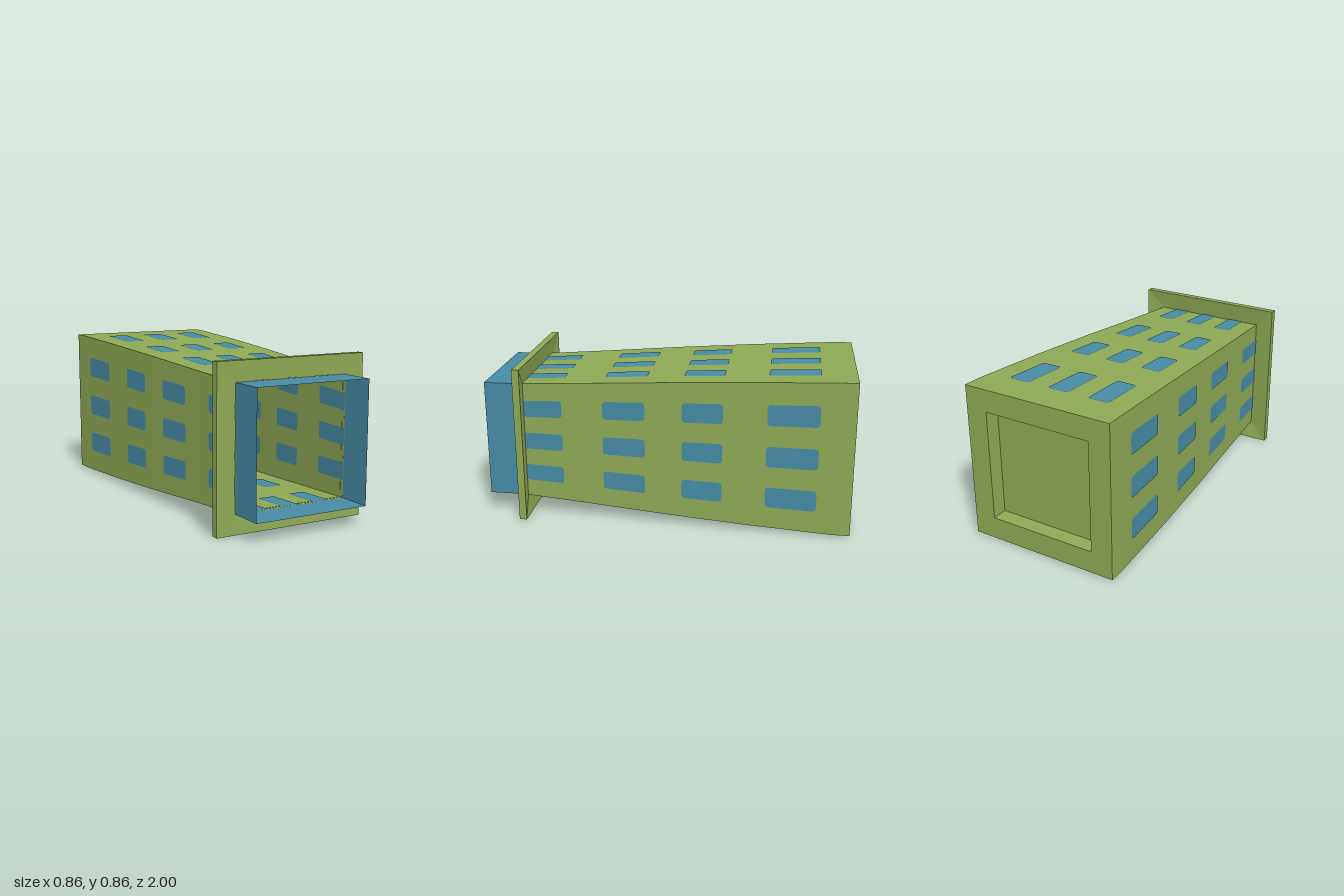
import * as THREE from 'three';

const CENTER_Y = 0.432;

// [z, half width] of the tapering body, from back to mouth
const PROFILE = [[-1, 0.425], [-0.9, 0.424], [-0.43, 0.402], [0, 0.377], [0.45, 0.347], [0.81, 0.325]];

function halfWidth(z) {
  let i = 1;
  while (i < PROFILE.length - 1 && z > PROFILE[i][0]) i++;
  const [z0, r0] = PROFILE[i - 1], [z1, r1] = PROFILE[i];
  return r0 + (r1 - r0) * (z - z0) / (z1 - z0);
}

// Square section swept along z: points are [z, half width]
function squareTube(points) {
  const pts = points.map(([z, r]) => new THREE.Vector2(r * Math.SQRT2, z));
  const geo = new THREE.LatheGeometry(pts, 4, Math.PI / 4).rotateX(Math.PI / 2).toNonIndexed();
  geo.computeVertexNormals();
  return geo;
}

// Rounded rectangle in (u, z), where u is a fraction of the half width
function panelShape(u, hu, z0, z1, openFront) {
  const ru = 0.05, rz = 0.02, a = u - hu, b = u + hu;
  const s = new THREE.Shape();
  s.moveTo(a + ru, z0);
  s.lineTo(b - ru, z0);
  s.quadraticCurveTo(b, z0, b, z0 + rz);
  if (openFront) {
    s.lineTo(b, z1);
    s.lineTo(a, z1);
  } else {
    s.lineTo(b, z1 - rz);
    s.quadraticCurveTo(b, z1, b - ru, z1);
    s.lineTo(a + ru, z1);
    s.quadraticCurveTo(a, z1, a, z1 - rz);
  }
  s.lineTo(a, z0 + rz);
  s.quadraticCurveTo(a, z0, a + ru, z0);
  return s;
}

// Lay the flat panel onto the sloping wall, shifted outward by offset
function panelGeometry(shape, offset) {
  const geo = new THREE.ShapeGeometry(shape, 4);
  const p = geo.attributes.position;
  for (let i = 0; i < p.count; i++) {
    const u = p.getX(i), z = p.getY(i), r = halfWidth(z);
    p.setXYZ(i, u * r, r + offset, z);
  }
  geo.computeVertexNormals();
  return geo;
}

export function createModel() {
  const model = new THREE.Group();
  const green = new THREE.MeshStandardMaterial({ color: 0x8ea854, side: THREE.DoubleSide });
  green.name = 'olive green';
  const blue = new THREE.MeshStandardMaterial({ color: 0x478ba5, side: THREE.DoubleSide });
  blue.name = 'steel blue';

  const add = (name, geo, mat, parent = model) => {
    const mesh = new THREE.Mesh(geo, mat);
    mesh.name = name;
    parent.add(mesh);
    return mesh;
  };

  // Thin tapering walls
  add('body', squareTube(PROFILE), green);

  // Closed base with a square recess
  add('base', squareTube([[-0.915, 0], [-0.915, 0.303], [-1, 0.303], [-1, 0.425]]), green);

  // Flange around the mouth, its rear face slightly dished
  add('flange', squareTube([[0.785, 0.325], [0.77, 0.431], [0.81, 0.431], [0.805, 0.325]]), green);

  // Open collar
  add('collar', squareTube([[0.81, 0.325], [1, 0.324]]), blue);

  // Window panels: four rows of three on each wall, inside and out
  const rows = [[-0.815, -0.542], [-0.31, -0.09], [0.11, 0.343], [0.57, 0.81]];
  for (let side = 0; side < 4; side++) {
    const wall = new THREE.Group();
    wall.name = 'wallPanels';
    wall.rotation.z = side * Math.PI / 2;
    rows.forEach(([z0, z1], row) => {
      for (const u of [-0.565, 0, 0.565]) {
        const shape = panelShape(u, 0.14, z0, z1, row === 3);
        add('outerPanel', panelGeometry(shape, 0.003), blue, wall);
        add('innerPanel', panelGeometry(shape, -0.003), blue, wall);
      }
    });
    model.add(wall);
  }

  for (const part of model.children) part.position.y = CENTER_Y;
  return model;
}
